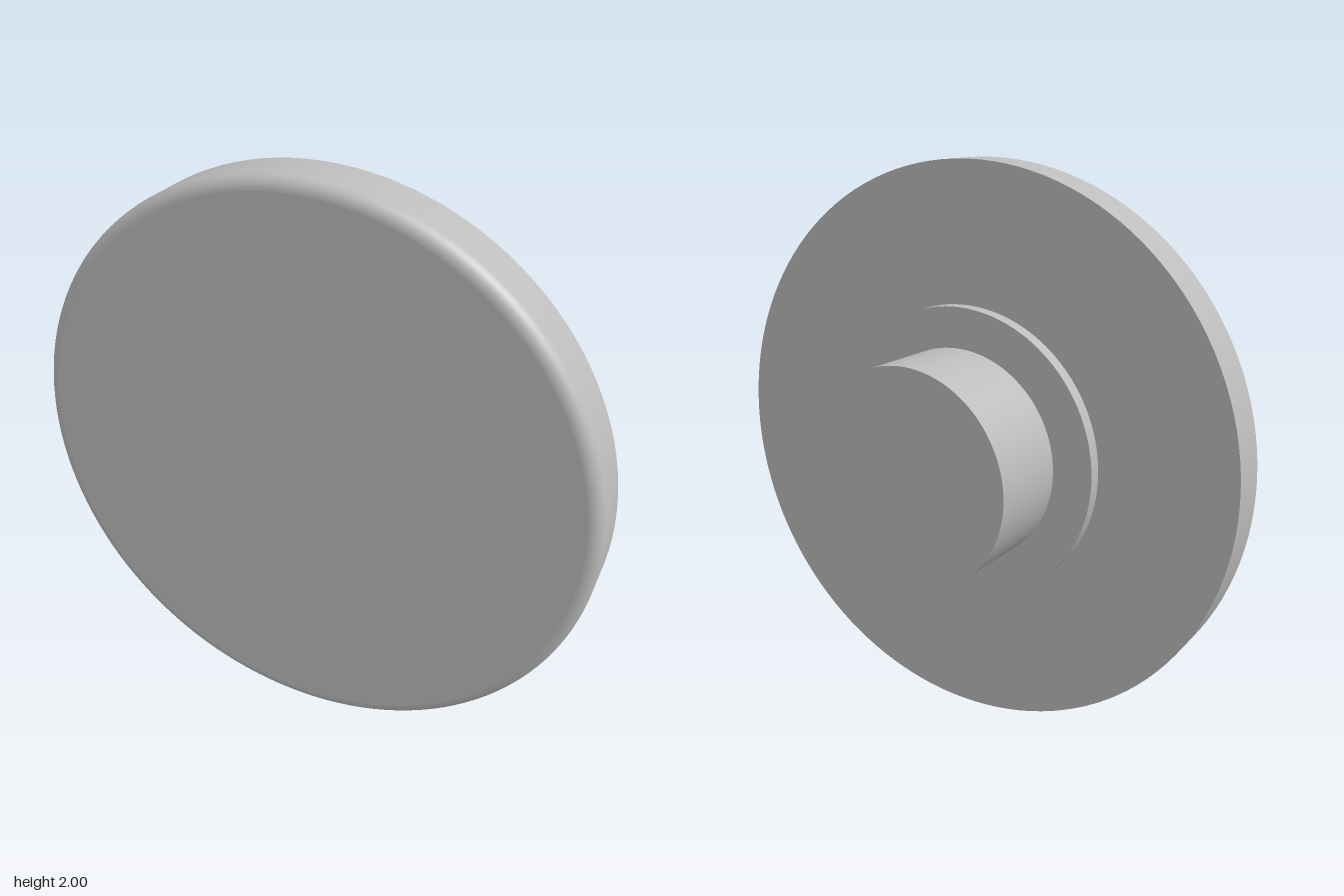
import * as THREE from 'three';

const SEGMENTS = 128;

export function createModel() {
  const group = new THREE.Group();
  group.name = 'knob';
  const grey = new THREE.MeshStandardMaterial({ color: 0xbcbcbc });
  grey.name = 'plain grey';

  // Each part is a list of [radius, z] profiles running back to front;
  // separate profiles keep the edges between them sharp.
  function addPart(name, profiles) {
    const part = new THREE.Group();
    part.name = name;
    for (const [surface, points] of Object.entries(profiles)) {
      const profile = points.map(([r, z]) => new THREE.Vector2(r, z));
      const geometry = new THREE.LatheGeometry(profile, SEGMENTS);
      geometry.rotateX(Math.PI / 2);
      const mesh = new THREE.Mesh(geometry, grey);
      mesh.name = name + surface;
      part.add(mesh);
    }
    part.position.y = 1;
    group.add(part);
  }

  // Round stub at the back
  addPart('hub', {
    Back: [[0, -0.275], [0.38, -0.275]],
    Side: [[0.38, -0.275], [0.38, 0.04]],
  });

  // Thin collar between stub and plate
  addPart('collar', {
    Back: [[0.38, 0.04], [0.522, 0.04]],
    Side: [[0.522, 0.04], [0.522, 0.088]],
  });

  // Large plate with a rounded front edge
  const fillet = 0.045, front = 0.275;
  const edge = [];
  for (let i = 0; i <= 10; i++) {
    const a = (i / 10) * Math.PI / 2;
    edge.push([1 - fillet + fillet * Math.cos(a), front - fillet + fillet * Math.sin(a)]);
  }
  addPart('plate', {
    Back: [[0.522, 0.088], [1, 0.088]],
    Side: [[1, 0.088], [1, front - fillet]],
    RoundedEdge: edge,
    Front: [[1 - fillet, front], [0, front]],
  });

  return group;
}
